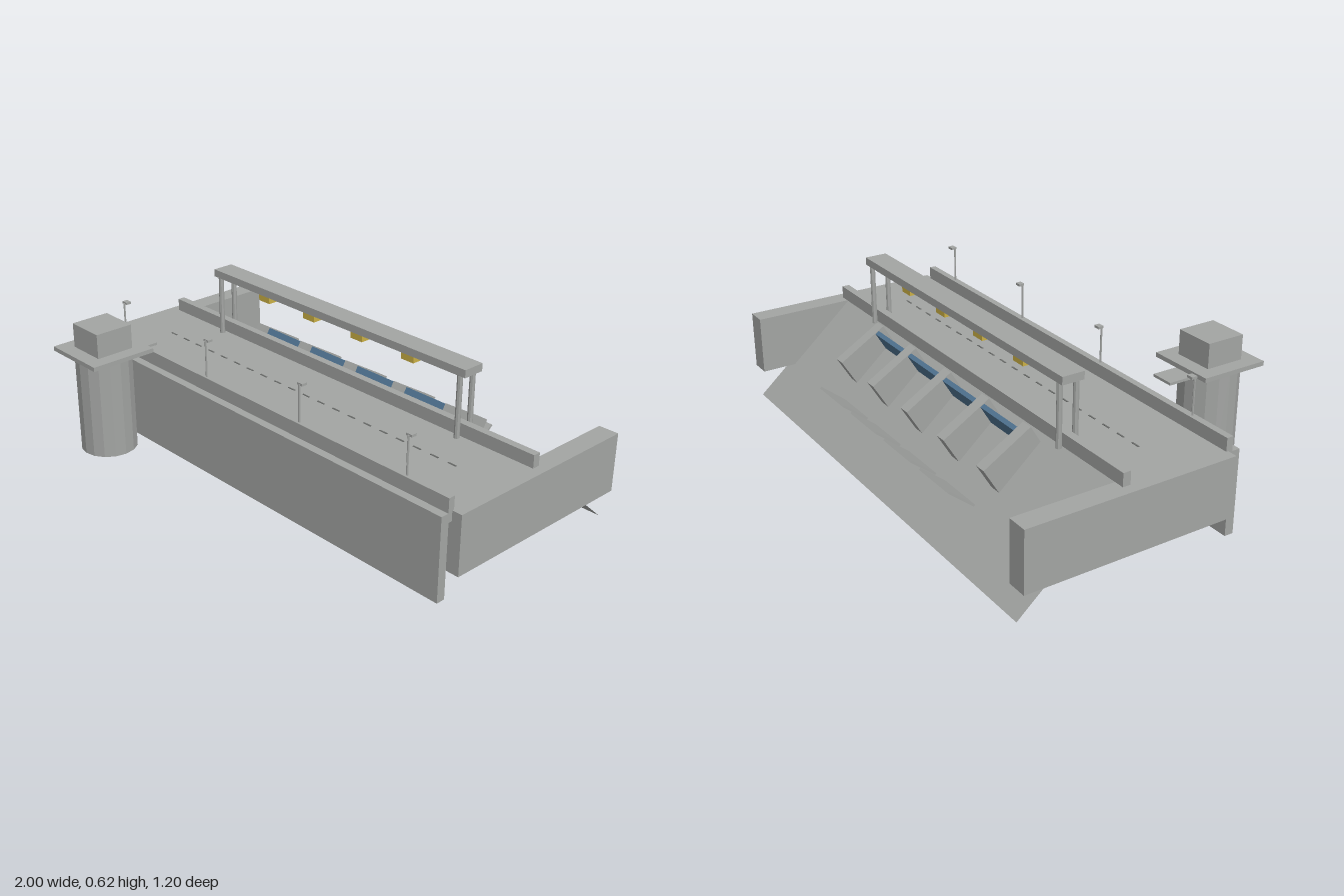
import * as THREE from 'three';

export function createModel() {
  const model = new THREE.Group();
  model.name = 'dam';

  const mat = (name, color, extra = {}) => {
    const m = new THREE.MeshStandardMaterial({ color, ...extra });
    m.name = name;
    return m;
  };
  const concrete = mat('concrete', 0xa3a5a3, { flatShading: true, side: THREE.DoubleSide });
  const gateBlue = mat('gate blue', 0x4f7391);
  const hoistYellow = mat('hoist yellow', 0xcbb045);
  const dashGrey = mat('dash grey', 0x6c6e6c);

  const add = (name, geometry, material, x, y, z, tilt = 0) => {
    const mesh = new THREE.Mesh(geometry, material);
    mesh.name = name;
    mesh.position.set(x, y, z);
    mesh.rotation.x = tilt;
    model.add(mesh);
    return mesh;
  };
  // Box given by its limits on each axis
  const block = (name, [x0, x1], [y0, y1], [z0, z1], material = concrete) =>
    add(name, new THREE.BoxGeometry(x1 - x0, y1 - y0, z1 - z0), material,
      (x0 + x1) / 2, (y0 + y1) / 2, (z0 + z1) / 2);

  // Deck, upstream wall and parapets
  block('deck', [-0.96, 0.96], [0.31, 0.35], [-0.2, 0.225]);
  block('upstreamWall', [-0.96, 0.96], [0.022, 0.345], [0.24, 0.275]);
  block('frontParapet', [-0.96, 0.96], [0.31, 0.4], [0.217, 0.243]);
  block('rearParapet', [-0.96, 0.96], [0.35, 0.4], [-0.207, -0.177]);

  // Side abutments
  for (const s of [-1, 1]) {
    const xs = [s * 0.92, s].sort((a, b) => a - b);
    block('abutment', xs, [0.12, 0.35], [-0.6, 0.225]);
  }

  // Sloping downstream face, a single sheet from the deck edge to the ground
  const slope = new THREE.PlaneGeometry(1.92, Math.hypot(0.4, 0.35));
  slope.rotateX(-Math.PI / 2);
  slope.rotateX(-Math.atan2(0.35, 0.4));
  add('downstreamFace', slope, concrete, 0, 0.175, -0.4);

  // Spillway piers
  for (let i = -2; i <= 2; i++) {
    add('spillwayPier', new THREE.BoxGeometry(0.047, 0.12, 0.216), concrete,
      i * 0.257, 0.288, -0.3265, -0.54);
  }

  // Spillway bays: gate, deflector plate and hoist
  for (const i of [-1.5, -0.5, 0.5, 1.5]) {
    const x = i * 0.257;
    add('spillwayGate', new THREE.BoxGeometry(0.21, 0.1, 0.018), gateBlue, x, 0.332, -0.2667, -0.54);
    add('deflectorPlate', new THREE.BoxGeometry(0.195, 0.008, 0.264), concrete, x, 0.124, -0.4475, 0.686);
    block('hoist', [x - 0.03, x + 0.03], [0.555, 0.59], [-0.215, -0.167], hoistYellow);
  }

  // Gantry beam on four posts
  block('gantryBeam', [-0.67, 0.67], [0.59, 0.62], [-0.236, -0.148]);
  for (const x of [-0.64, 0.64]) {
    for (const z of [-0.158, -0.224]) {
      add('gantryPost', new THREE.CylinderGeometry(0.0105, 0.0105, 0.24, 8), concrete, x, 0.47, z);
    }
  }

  // Lamp posts along the front parapet
  for (const i of [-1.5, -0.5, 0.5, 1.5]) {
    const x = i * 0.513;
    add('lampPost', new THREE.CylinderGeometry(0.004, 0.004, 0.195, 6), concrete, x, 0.4475, 0.232);
    block('lampHead', [x - 0.013, x + 0.013], [0.54, 0.549], [0.209, 0.231]);
  }

  // Road centre dashes
  for (let i = 0; i < 20; i++) {
    const x = -0.76 + i * 0.08;
    block('roadDash', [x - 0.018, x + 0.018], [0.35, 0.352], [-0.003, 0.003], dashGrey);
  }

  // Intake tower with platform, cabin and footbridge
  add('intakeTower', new THREE.CylinderGeometry(0.109, 0.109, 0.395, 16), concrete, -0.578, 0.2725, 0.47);
  block('towerPlatform', [-0.711, -0.445], [0.468, 0.485], [0.335, 0.602]);
  block('towerCabin', [-0.656, -0.5], [0.485, 0.58], [0.392, 0.545]);
  block('footbridge', [-0.625, -0.535], [0.446, 0.456], [0.252, 0.39]);

  return model;
}
